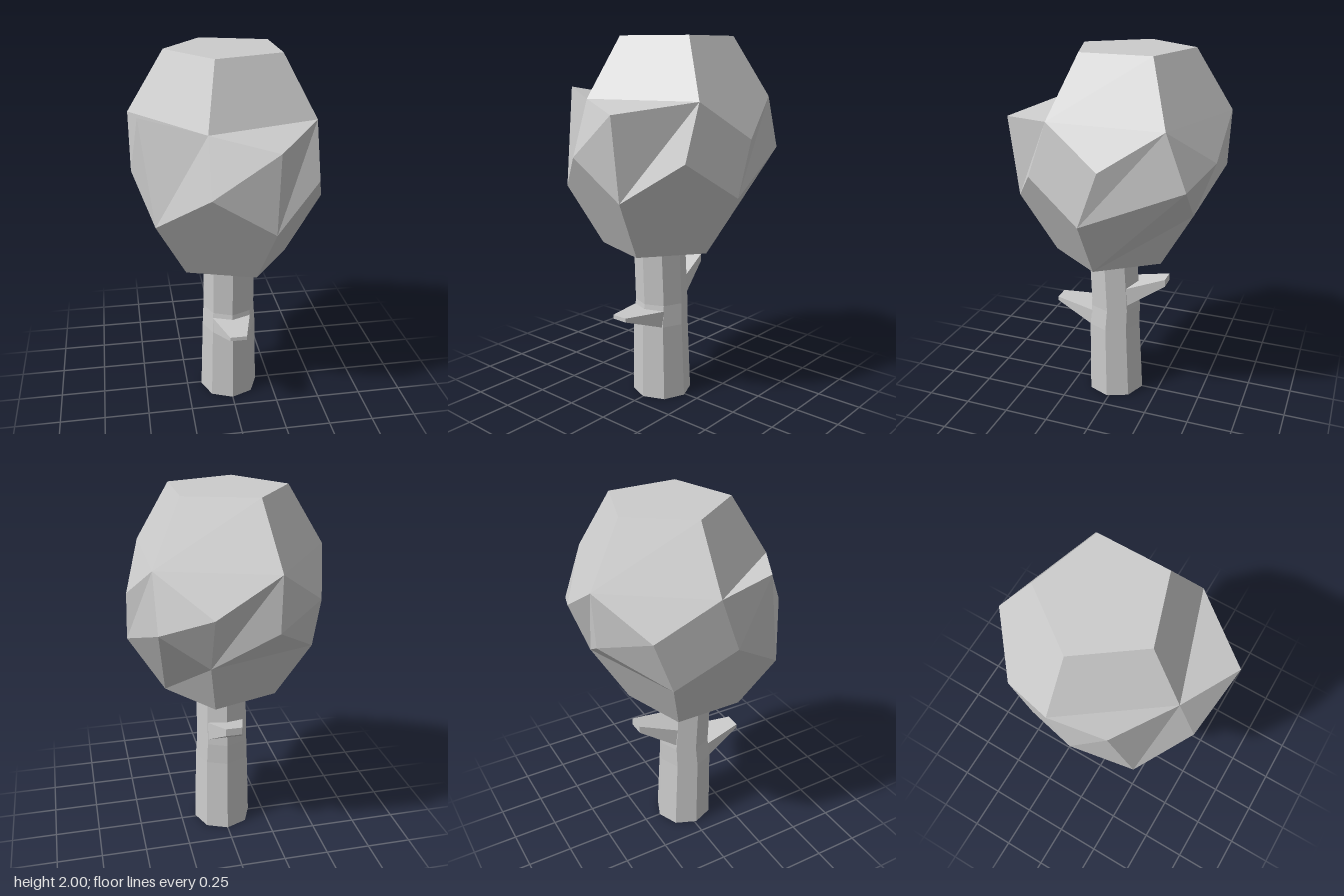
import * as THREE from 'three';

const material = new THREE.MeshStandardMaterial({ color: 0xcccccc, flatShading: true });

function meshFromTriangles(name, triangles) {
  const geometry = new THREE.BufferGeometry().setFromPoints(triangles.flat());
  geometry.computeVertexNormals();
  const mesh = new THREE.Mesh(geometry, material);
  mesh.name = name;
  return mesh;
}

// Point k of a ring with `sides` points, running left to right across the front
function ringPoint(k, sides, radius, y, z) {
  const a = Math.PI - (k / sides) * Math.PI * 2;
  return new THREE.Vector3(radius * Math.cos(a), y, z + radius * Math.sin(a));
}

// Faceted crown: a dodecahedron split at its waist, stretched, with a few dented corners
function createCrown() {
  const topZ = -0.08, bottomZ = 0.025;
  const top = [], bottom = [], hi = [], lo = [];
  for (let k = 0; k < 10; k++) {
    const lift = k % 2 ? 0 : 0.2;
    hi.push(ringPoint(k, 10, 0.518, 1.485 + lift, topZ));
    lo.push(ringPoint(k, 10, 0.518, 1.195 + lift, bottomZ));
    top.push(ringPoint(k, 10, 0.322, 2, topZ));
    bottom.push(ringPoint(k, 10, 0.322, 0.873, bottomZ));
  }
  // Dented corners
  hi[1].set(-0.48, 1.73, 0.22);
  hi[3].set(0.16, 1.63, 0.57);
  lo[6].set(0.415, 1.4, -0.49);
  lo[8].set(-0.16, 1.39, -0.56);

  const tris = [];
  const quad = (a, b, c, d) => tris.push([a, b, c], [a, c, d]);
  for (let k = 0; k < 10; k++) {
    const m = (k + 1) % 10, n = (k + 2) % 10;
    quad(lo[k], lo[m], hi[m], hi[k]); // waist
    if (k % 2 === 0) { // upper pentagons
      tris.push([hi[k], hi[m], hi[n]]);
      quad(hi[k], hi[n], top[n], top[k]);
    } else if (k === 5) { // creased lower pentagon
      tris.push([bottom[k], lo[m], lo[k]], [bottom[k], lo[n], lo[m]], [bottom[k], bottom[n], lo[n]]);
    } else { // lower pentagons
      tris.push([lo[k], lo[n], lo[m]]);
      quad(bottom[k], bottom[n], lo[n], lo[k]);
    }
  }
  // End caps
  for (let k = 2; k < 8; k += 2) {
    tris.push([top[0], top[k], top[k + 2] ?? top[0]]);
    tris.push([bottom[1], bottom[k + 3] ?? bottom[1], bottom[k + 1]]);
  }
  return meshFromTriangles('crown', tris);
}

// Eight-sided, slightly bent trunk; each row is [height, radius, z]
function createTrunk() {
  const rows = [[0, 0.166, 0.012], [0.43, 0.154, 0.022], [0.55, 0.147, 0.014], [0.92, 0.143, 0.034]];
  const rings = rows.map(([y, r, z]) => Array.from({ length: 8 }, (_, k) => ringPoint(k, 8, r, y, z)));
  const tris = [];
  for (let k = 0; k < 8; k++) {
    const m = (k + 1) % 8;
    for (let i = 0; i < rings.length - 1; i++) {
      const [a, b] = [rings[i], rings[i + 1]];
      tris.push([a[k], a[m], b[m]], [a[k], b[m], b[k]]);
    }
    tris.push([rings[0][m], rings[0][k], new THREE.Vector3(0, 0, 0.012)]);
  }
  return meshFromTriangles('trunk', tris);
}

// Tapered stub; base and tip are [half width, bottom y, top y, z]
function createBranch(name, base, tip) {
  const geometry = new THREE.BoxGeometry(1, 1, 1);
  const p = geometry.attributes.position;
  for (let i = 0; i < p.count; i++) {
    const [w, y0, y1, z] = p.getZ(i) > 0 ? tip : base;
    p.setXYZ(i, Math.sign(p.getX(i)) * w, p.getY(i) > 0 ? y1 : y0, z);
  }
  geometry.computeVertexNormals();
  const mesh = new THREE.Mesh(geometry, material);
  mesh.name = name;
  return mesh;
}

export function createModel() {
  const group = new THREE.Group();
  group.name = 'tree';
  const frontBranch = createBranch('frontBranch', [0.107, 0.425, 0.52, 0.12], [0.046, 0.512, 0.534, 0.362]);
  const backBranch = createBranch('backBranch', [0.102, 0.575, 0.685, 0.08], [0.045, 0.71, 0.752, 0.292]);
  backBranch.rotation.y = Math.PI;
  group.add(createTrunk(), frontBranch, backBranch, createCrown());
  return group;
}
